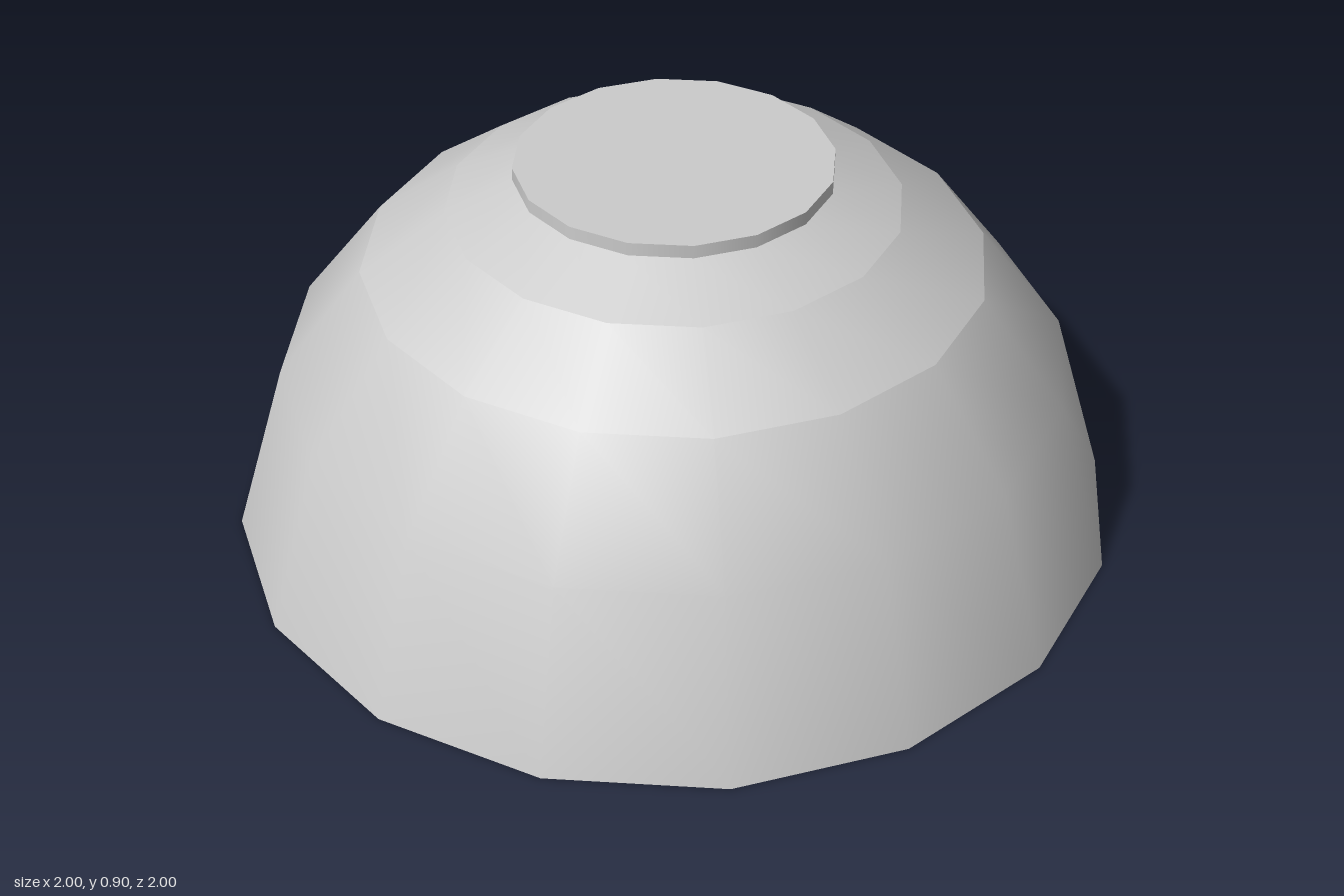
import * as THREE from 'three';

const SIDES = 16;
const material = new THREE.MeshStandardMaterial({ color: 0xcccccc });

// Revolve a short [radius, height] profile; each band is smooth within itself.
function band(name, points) {
  const profile = points.map(([r, y]) => new THREE.Vector2(r, y));
  const mesh = new THREE.Mesh(new THREE.LatheGeometry(profile, SIDES), material);
  mesh.name = name;
  return mesh;
}

export function createModel() {
  const bowl = new THREE.Group();
  bowl.name = 'upturnedBowl';

  // Outer shell, from rim up to the foot
  bowl.add(band('outerWall', [[1, 0], [0.88, 0.41], [0.69, 0.66]]));
  bowl.add(band('outerShoulder', [[0.69, 0.66], [0.5, 0.8]]));
  bowl.add(band('outerBase', [[0.5, 0.8], [0.35, 0.87]]));

  // Raised foot with a flat top
  bowl.add(band('footSide', [[0.35, 0.87], [0.35, 0.9]]));
  bowl.add(band('footTop', [[0.35, 0.9], [0, 0.9]]));

  // Inner shell, running down so its faces look inward
  bowl.add(band('innerFloor', [[0, 0.8], [0.32, 0.8]]));
  bowl.add(band('innerBase', [[0.32, 0.8], [0.46, 0.74], [0.64, 0.61]]));
  bowl.add(band('innerWall', [[0.64, 0.61], [0.82, 0.38], [0.93, 0]]));

  // Flat rim the bowl rests on
  bowl.add(band('rim', [[0.93, 0], [1, 0]]));

  return bowl;
}
